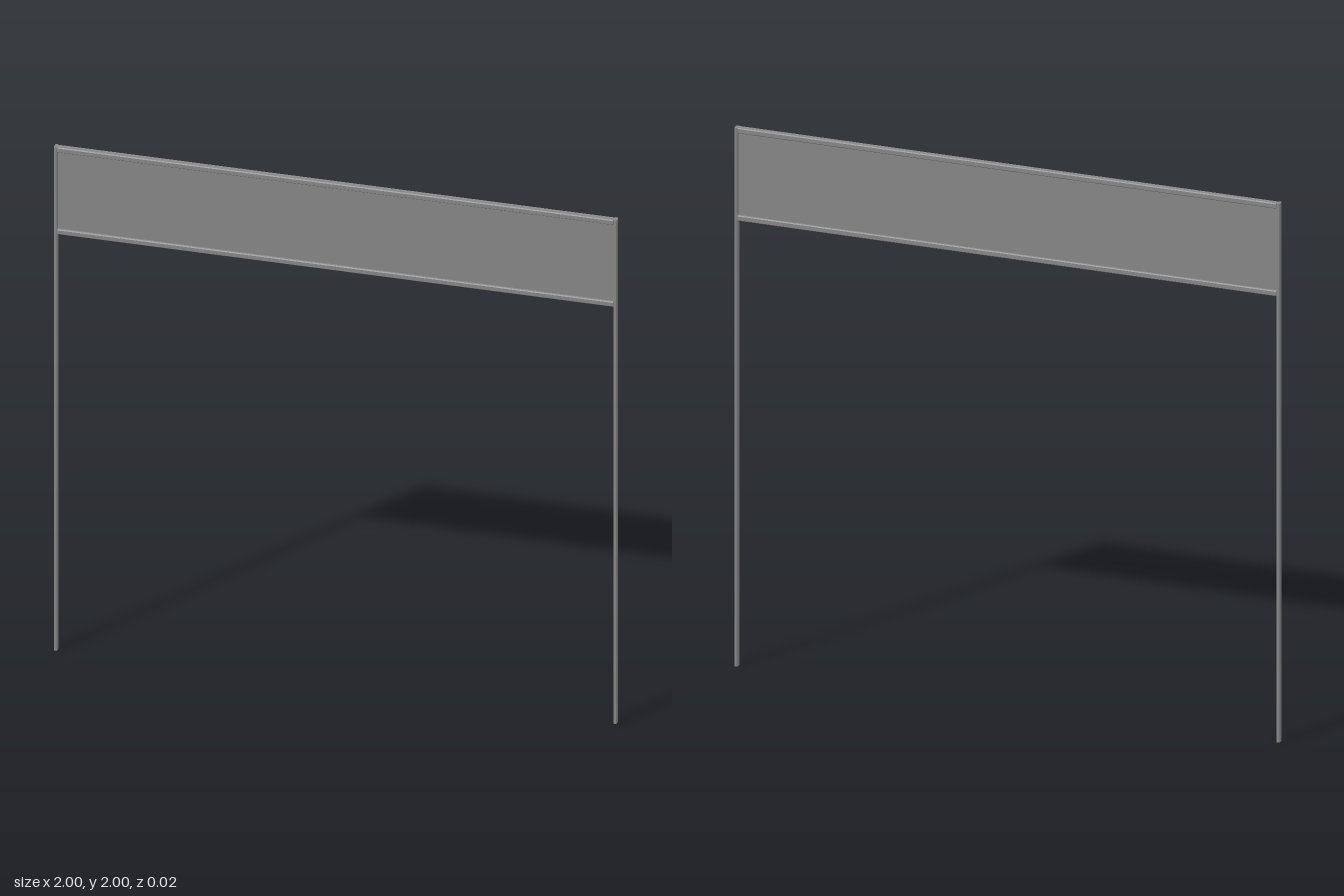
import * as THREE from 'three';

export function createModel() {
  const group = new THREE.Group();
  group.name = 'bannerFrame';
  const material = new THREE.MeshStandardMaterial({ color: 0x888888, flatShading: true });

  const add = (name, geometry, x, y) => {
    const mesh = new THREE.Mesh(geometry, material);
    mesh.name = name;
    mesh.position.set(x, y, 0);
    group.add(mesh);
    return mesh;
  };

  // Bar with chamfered long edges, centred, running along z
  const chamferedBar = (width, height, length, c = 0.003) => {
    const w = width / 2, h = height / 2;
    const corners = [
      [w - c, -h], [w, c - h], [w, h - c], [w - c, h],
      [c - w, h], [-w, h - c], [-w, c - h], [c - w, -h],
    ];
    const shape = new THREE.Shape(corners.map(([x, y]) => new THREE.Vector2(x, y)));
    return new THREE.ExtrudeGeometry(shape, { depth: length, bevelEnabled: false })
      .translate(0, 0, -length / 2);
  };

  const depth = 0.024;
  const postWidth = 0.013;
  const railHeight = 0.02;
  const span = 2 - 2 * postWidth;
  const panelBottom = 1.655;

  // Two full-height posts
  for (const [name, side] of [['leftPost', 1], ['rightPost', -1]]) {
    add(name, chamferedBar(postWidth, depth, 2).rotateX(-Math.PI / 2),
      side * (1 - postWidth / 2), 1);
  }

  // Rails along the top and bottom of the banner
  for (const [name, y] of [['topRail', 2 - railHeight / 2], ['bottomRail', panelBottom + railHeight / 2]]) {
    add(name, chamferedBar(depth, railHeight, span).rotateY(Math.PI / 2), 0, y);
  }

  // Thin panel recessed between the rails
  const panelHeight = 2 - panelBottom - 2 * railHeight;
  add('bannerPanel', new THREE.BoxGeometry(span, panelHeight, 0.006),
    0, panelBottom + railHeight + panelHeight / 2);

  return group;
}
